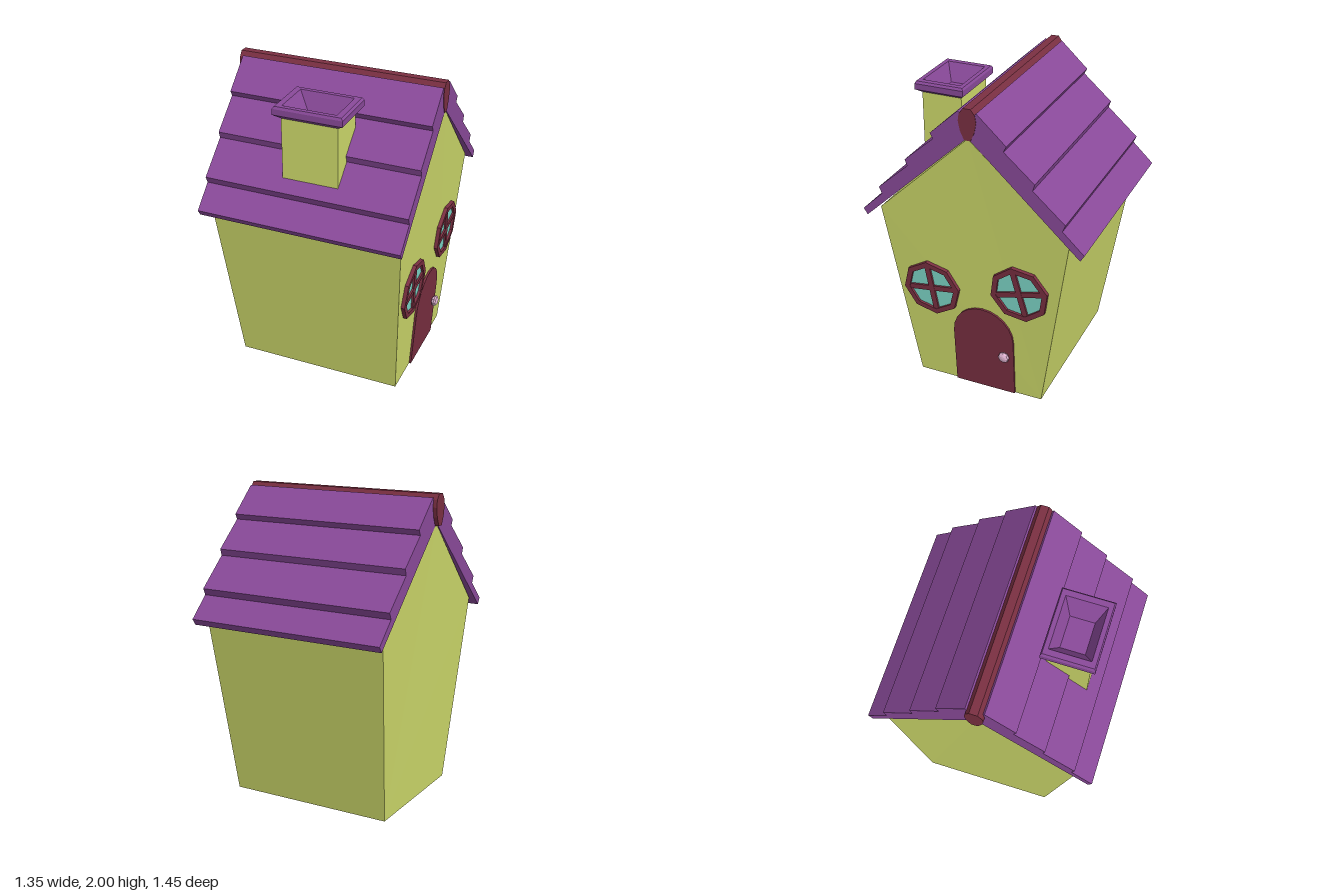
import * as THREE from 'three';

const mat = (color) => new THREE.MeshStandardMaterial({ color, flatShading: true });
const WALL = mat(0xd0dc6c), ROOF = mat(0x8a4a9a), TRIM = mat(0x7b3042);
const GLASS = mat(0x80dccd), KNOB = mat(0xe0b4d2);

function add(parent, name, geometry, material) {
  const mesh = new THREE.Mesh(geometry, material);
  mesh.name = name;
  parent.add(mesh);
  return mesh;
}

const vectors = (pts) => pts.map(([x, y]) => new THREE.Vector2(x, y));

// Shape mirrored about its vertical axis, from one half listed bottom to top
function mirrored(half) {
  const other = half.filter(([x]) => x > 0).reverse().map(([x, y]) => [-x, y]);
  return new THREE.Shape(vectors([...half, ...other]));
}

const extrude = (shape, depth) =>
  new THREE.ExtrudeGeometry(shape, { depth, bevelEnabled: false, curveSegments: 6 });

// Cross-section in z/y, swept along x from x0 to x1
const sweepX = (shape, x0, x1) =>
  extrude(shape, x1 - x0).rotateY(Math.PI / 2).translate(x0, 0, 0);

// Rectangular ring profile: radii are fractions of the half width and half depth
const rectLathe = (profile, hx, hz) =>
  new THREE.LatheGeometry(vectors(profile.map(([r, y]) => [r * Math.SQRT2, y])), 4, Math.PI / 4)
    .scale(hx, 1, hz);

function polygon(radius, angle, Type = THREE.Shape) {
  const pts = [];
  for (let i = 0; i < 8; i++) {
    const a = angle + (i * Math.PI) / 4;
    pts.push([radius * Math.cos(a), radius * Math.sin(a)]);
  }
  return new Type(vectors(pts));
}

// Octagonal window with crossed bars, facing local +z
function createWindow(x, y, degrees) {
  const group = new THREE.Group();
  group.name = 'window';
  const angle = THREE.MathUtils.degToRad(degrees);
  const rim = polygon(0.194, angle);
  rim.holes.push(polygon(0.158, angle, THREE.Path));
  add(group, 'windowFrame', extrude(rim, 0.024), TRIM);
  add(group, 'windowGlass', extrude(polygon(0.17, angle), 0.008), GLASS);
  for (let i = 0; i < 2; i++) {
    const bar = add(group, 'windowBar', new THREE.BoxGeometry(0.33, 0.036, 0.02), TRIM);
    bar.position.z = 0.01 + i * 0.001;
    bar.rotation.z = angle + (i * Math.PI) / 2;
  }
  group.position.set(x, y, 0);
  return group;
}

export function createModel() {
  const house = new THREE.Group();
  house.name = 'house';

  // Walls: gabled block whose ends lean outwards towards the roof
  const lean = 0.0625;
  const body = sweepX(mirrored([[0.43, 0], [0.622, 1.23], [0, 1.815]]), -1, 1);
  const p = body.attributes.position;
  for (let i = 0; i < p.count; i++) {
    const y = Math.min(p.getY(i), 1.75);
    p.setX(i, p.getX(i) > 0 ? 0.56 + lean * y : -0.54 - lean * y);
  }
  add(house, 'walls', body, WALL);

  // Roof: stepped shingle courses on both slopes
  const roof = new THREE.Shape(vectors([
    [0, 1.82], [0.702, 1.172], [0.727, 1.212], [0.589, 1.342], [0.607, 1.385],
    [0.403, 1.565], [0.416, 1.607], [0.223, 1.775], [0.241, 1.81], [0.057, 1.98],
    [0, 1.92], [-0.057, 1.98], [-0.241, 1.81], [-0.223, 1.775], [-0.416, 1.607],
    [-0.403, 1.565], [-0.607, 1.385], [-0.589, 1.342], [-0.727, 1.212], [-0.702, 1.172],
  ]));
  add(house, 'roof', sweepX(roof, -0.65, 0.67), ROOF);

  // Ridge beam
  const ridge = mirrored([[0.02, 1.805], [0.045, 1.86], [0.057, 1.92], [0.05, 1.965], [0.025, 2]]);
  add(house, 'ridgeBeam', sweepX(ridge, -0.675, 0.673), TRIM);

  // Chimney stack and its hollow cap
  const chimney = new THREE.Group();
  chimney.name = 'chimney';
  chimney.position.set(0.0215, 0, 0.4015);
  add(chimney, 'chimneyStack', rectLathe([[0.81, 1.4], [0.81, 1.845]], 0.2225, 0.165), WALL);
  add(chimney, 'chimneyCap', rectLathe([
    [0.81, 1.84], [1, 1.867], [1, 1.905], [0.95, 1.92], [0.78, 1.92], [0.465, 1.81], [0, 1.81],
  ], 0.2225, 0.165), ROOF);
  house.add(chimney);

  // Entrance end: everything is laid on the leaning wall, facing +x
  const tilt = new THREE.Group();
  tilt.name = 'entrance';
  tilt.position.x = 0.56;
  tilt.rotation.z = -Math.atan(lean);
  house.add(tilt);
  const facade = new THREE.Group();
  facade.name = 'facade';
  facade.rotation.y = Math.PI / 2;
  tilt.add(facade);

  facade.add(createWindow(-0.3, 0.706, 8), createWindow(0.302, 0.814, 14));

  // Arched door
  const door = new THREE.Shape();
  door.moveTo(-0.207, 0.002);
  door.lineTo(0.207, 0.002);
  door.lineTo(0.207, 0.41);
  door.absellipse(0, 0.41, 0.207, 0.215, 0, Math.PI, false);
  add(facade, 'door', extrude(door, 0.013), TRIM).position.x = 0.043;

  // Door knob
  const knob = add(facade, 'doorKnob', new THREE.SphereGeometry(0.038, 8, 6).rotateX(Math.PI / 2), KNOB);
  knob.scale.z = 0.6;
  knob.position.set(0.19, 0.3, 0.032);
  const stem = add(facade, 'knobStem',
    new THREE.CylinderGeometry(0.016, 0.016, 0.03, 8).rotateX(Math.PI / 2), KNOB);
  stem.position.set(0.19, 0.3, 0.015);

  return house;
}
